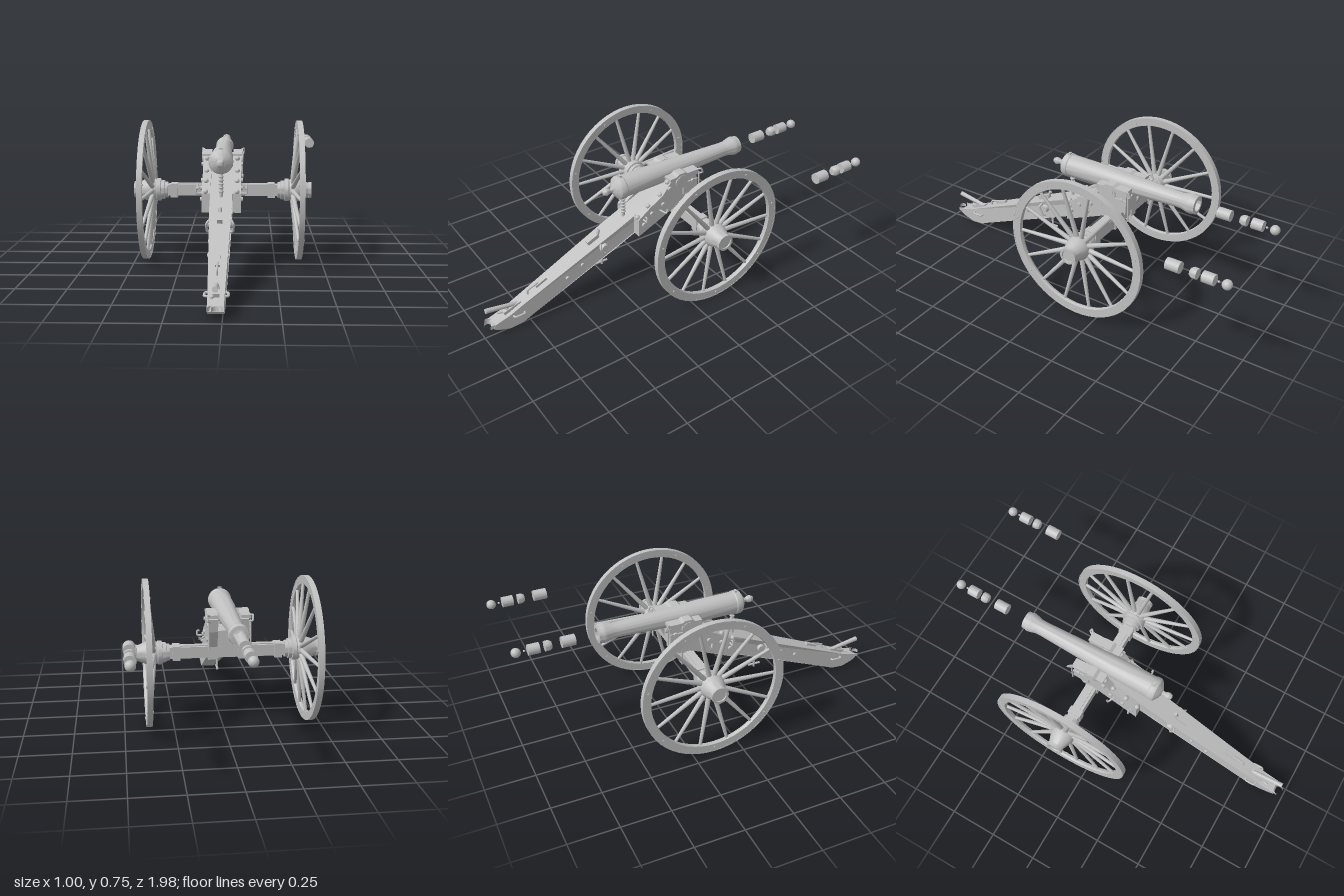
import * as THREE from 'three';
import { toCreasedNormals } from 'three/addons/utils/BufferGeometryUtils.js';

const HALF = Math.PI / 2;
const V = (x, y, z) => new THREE.Vector3(x, y, z);

export function createModel() {
  const model = new THREE.Group();
  model.name = 'fieldGun';
  const grey = new THREE.MeshStandardMaterial({ color: 0xc0c0c0 });
  grey.name = 'plainGrey';

  // ---- helpers ----
  const add = (parent, name, geo, x = 0, y = 0, z = 0) => {
    const m = new THREE.Mesh(geo, grey);
    m.name = name;
    m.position.set(x, y, z);
    parent.add(m);
    return m;
  };
  const box = (p, name, w, h, d, x, y, z, rx = 0) => {
    const m = add(p, name, new THREE.BoxGeometry(w, h, d), x, y, z);
    m.rotation.x = rx;
    return m;
  };
  // cylinder running between two points
  const rod = (p, name, a, b, r0, r1 = r0, sides = 12) => {
    const d = b.clone().sub(a);
    const m = add(p, name, new THREE.CylinderGeometry(r1, r0, d.length(), sides));
    m.position.copy(a).addScaledVector(d, 0.5);
    m.quaternion.setFromUnitVectors(V(0, 1, 0), d.normalize());
    return m;
  };
  // turned part: pairs of [radius, height], bottom to top
  const turned = (pts, seg = 32) => toCreasedNormals(
    new THREE.LatheGeometry(pts.map(([r, h]) => new THREE.Vector2(r, h)), seg), 0.6);
  // side profile of [z, y] points, extruded across x
  const profile = (pts, width) => {
    const s = new THREE.Shape(pts.map(([z, y]) => new THREE.Vector2(z, y)));
    return new THREE.ExtrudeGeometry(s, { depth: width, bevelEnabled: false })
      .translate(0, 0, -width / 2).rotateY(-HALF);
  };
  const tube = (p, name, pts, r) => add(p, name, new THREE.TubeGeometry(
    new THREE.CatmullRomCurve3(pts, false, 'catmullrom', 0.2), 20, r, 8));

  const gun = new THREE.Group();
  gun.name = 'gunAndCarriage';
  gun.position.x = -0.03;
  model.add(gun);

  // ---- barrel with open bore and breech knob ----
  add(gun, 'barrel', turned([
    [0, -0.278], [0.012, -0.274], [0.019, -0.26], [0.017, -0.246], [0.011, -0.235], [0.013, -0.222],
    [0.035, -0.212], [0.058, -0.196], [0.062, -0.185], [0.062, -0.165], [0.058, -0.16],
    [0.056, 0.05], [0.052, 0.12], [0.039, 0.47], [0.04, 0.5], [0.049, 0.535], [0.051, 0.55],
    [0.047, 0.56], [0.047, 0.575], [0.03, 0.577], [0.028, 0.44], [0, 0.43],
  ], 36).rotateX(-HALF), 0, 0.573, 0);
  rod(gun, 'trunnion', V(-0.11, 0.56, -0.135), V(0.11, 0.56, -0.135), 0.025, 0.025, 24);
  box(gun, 'rearSight', 0.02, 0.014, 0.012, 0, 0.636, 0.175);

  // ---- trail, narrowing towards the rear ----
  const trail = profile([
    [0.95, 0.04], [0.94, 0.062], [0.86, 0.085], [0.78, 0.122], [0.246, 0.357], [-0.09, 0.505],
    [-0.2, 0.5], [-0.2, 0.42], [-0.1, 0.402], [0.22, 0.262], [0.73, 0.04], [0.79, 0.012],
    [0.86, 0.004], [0.92, 0.022],
  ], 2);
  const tp = trail.attributes.position;
  for (let i = 0; i < tp.count; i++) {
    const t = THREE.MathUtils.clamp((tp.getZ(i) - 0.246) / 0.65, 0, 1);
    tp.setX(i, tp.getX(i) * (0.056 - 0.02 * t));
  }
  trail.computeVertexNormals();
  add(gun, 'trail', trail);

  // towing eye
  const eye = new THREE.Shape();
  eye.moveTo(-0.033, 0.08);
  eye.lineTo(-0.033, 0);
  eye.absarc(0, 0, 0.033, Math.PI, 0, true);
  eye.lineTo(0.033, 0.08);
  const hole = new THREE.Path();
  hole.absarc(0, 0, 0.017, 0, Math.PI * 2, true);
  eye.holes.push(hole);
  const eyeGeo = new THREE.ExtrudeGeometry(eye, { depth: 0.02, bevelEnabled: false, curveSegments: 16 });
  add(gun, 'towingEye', eyeGeo.rotateX(-HALF), 0, 0.043, 0.967);

  // handspike on the trail end, with its supports
  rod(gun, 'handspike', V(0, 0.112, 0.79), V(0, 0.142, 0.968), 0.011, 0.013);
  rod(gun, 'handspikeSupport', V(0, 0.07, 0.87), V(0, 0.122, 0.85), 0.009);
  rod(gun, 'handspikePin', V(-0.02, 0.085, 0.9), V(0.02, 0.085, 0.79), 0.006);
  box(gun, 'handspikeSocket', 0.03, 0.02, 0.1, 0, 0.103, 0.83, 0.3);
  tube(gun, 'trailHook', [V(0, 0.13, 0.735), V(0, 0.165, 0.735), V(0, 0.185, 0.68), V(0, 0.172, 0.668)], 0.005);
  box(gun, 'trailPlate', 0.022, 0.012, 0.07, 0, 0.185, 0.66, 0.41);
  box(gun, 'trailLatch', 0.026, 0.022, 0.07, 0, 0.322, 0.35, 0.41);
  rod(gun, 'latchPin', V(0, 0.31, 0.33), V(0, 0.365, 0.31), 0.009);

  // elevating screw and the handle hanging below the trail
  rod(gun, 'elevatingScrew', V(0, 0.39, 0.16), V(0, 0.52, 0.16), 0.009);
  for (let i = 0; i < 5; i++) {
    add(gun, 'screwThread', new THREE.TorusGeometry(0.009, 0.005, 8, 16).rotateX(HALF), 0, 0.42 + i * 0.019, 0.16);
  }
  rod(gun, 'screwShaft', V(0, 0.14, 0.3), V(0, 0.27, 0.3), 0.006);
  rod(gun, 'screwCrossbar', V(0, 0.155, 0.268), V(0, 0.155, 0.335), 0.006);
  add(gun, 'screwNut', new THREE.CylinderGeometry(0.012, 0.012, 0.02, 6), 0, 0.215, 0.3);

  // ---- axle ----
  box(gun, 'axleBeam', 0.59, 0.058, 0.058, 0, 0.381, -0.137);
  box(gun, 'axleTopPlate', 0.5, 0.006, 0.03, 0, 0.412, -0.137);

  // ---- one side of the carriage; s is +1 for left, -1 for right ----
  for (const s of [1, -1]) {
    const side = new THREE.Group();
    side.name = s > 0 ? 'leftSide' : 'rightSide';
    gun.add(side);

    const cheek = profile([
      [0.13, 0.305], [0.13, 0.405], [0.06, 0.455], [-0.02, 0.5], [-0.07, 0.565], [-0.1, 0.58],
      [-0.2, 0.585], [-0.235, 0.565], [-0.225, 0.5], [-0.19, 0.415], [-0.1, 0.405],
    ], 0.044);
    add(side, 'cheek', cheek, s * 0.078, 0, 0);
    // trunnion cap, curved over the trunnion
    add(side, 'trunnionCap', profile([
      [-0.06, 0.572], [-0.06, 0.583], [-0.1, 0.585], [-0.115, 0.597], [-0.155, 0.597],
      [-0.17, 0.588], [-0.24, 0.588], [-0.24, 0.572],
    ], 0.05), s * 0.082, 0, 0);
    rod(side, 'trunnionWasher', V(s * 0.1, 0.55, -0.135), V(s * 0.108, 0.55, -0.135), 0.036, 0.036, 24);
    tube(side, 'capHandle', [V(s * 0.098, 0.585, -0.235), V(s * 0.114, 0.592, -0.25),
      V(s * 0.112, 0.565, -0.262), V(s * 0.098, 0.555, -0.24)], 0.005);
    rod(side, 'capChain', V(s * 0.104, 0.57, -0.245), V(s * 0.104, 0.42, -0.245), 0.004, 0.004, 8);

    // bolts through the sloping top and on the outer face
    for (const [y, z] of [[0.413, 0.125], [0.458, 0.06], [0.5, -0.015], [0.56, -0.06]]) {
      add(side, 'topBolt', new THREE.SphereGeometry(0.013, 12, 8), s * 0.08, y, z);
    }
    for (const [y, z] of [[0.37, 0.1], [0.42, 0.05], [0.45, -0.02], [0.53, -0.06], [0.53, -0.205], [0.45, -0.17]]) {
      rod(side, 'sideBolt', V(s * 0.098, y, z), V(s * 0.11, y, z), 0.012, 0.01, 12);
    }
    box(side, 'cheekPlate', 0.008, 0.07, 0.09, s * 0.103, 0.5, -0.19);
    box(side, 'axleStrap', 0.045, 0.085, 0.07, s * 0.078, 0.385, -0.137);
    tube(side, 'implementHook', [V(s * 0.095, 0.4, 0.1), V(s * 0.13, 0.4, 0.1),
      V(s * 0.13, 0.425, 0.1), V(s * 0.118, 0.425, 0.1)], 0.005);
    tube(side, 'frontHook', [V(s * 0.095, 0.42, 0.0), V(s * 0.13, 0.41, -0.02), V(s * 0.128, 0.43, -0.03)], 0.005);

    // trail fittings
    rod(side, 'trailBoss', V(s * 0.048, 0.285, 0.31), V(s * 0.064, 0.285, 0.31), 0.022, 0.017, 16);
    tube(side, 'sideRing', [V(s * 0.05, 0.31, 0.33), V(s * 0.066, 0.29, 0.34),
      V(s * 0.064, 0.25, 0.32), V(s * 0.05, 0.245, 0.31)], 0.006);
    tube(side, 'trailHandle', [V(s * 0.034, 0.075, 0.78), V(s * 0.052, 0.075, 0.785),
      V(s * 0.052, 0.075, 0.835), V(s * 0.032, 0.075, 0.84)], 0.006);
    for (const [y, z] of [[0.225, 0.44], [0.18, 0.53]]) {
      rod(side, 'trailBolt', V(s * 0.04, y, z), V(s * 0.054, y, z), 0.011, 0.009, 12);
    }
    box(side, 'axleBand', 0.038, 0.074, 0.07, s * 0.26, 0.379, -0.137);

    // ---- wheel, built for +x and turned round for the other side ----
    const wheel = new THREE.Group();
    wheel.name = s > 0 ? 'leftWheel' : 'rightWheel';
    wheel.position.set(0, 0.38, -0.137);
    if (s < 0) wheel.rotation.y = Math.PI;
    side.add(wheel);
    add(wheel, 'rim', turned([
      [0.33, 0.395], [0.367, 0.394], [0.367, 0.393], [0.373, 0.393], [0.373, 0.421],
      [0.367, 0.421], [0.367, 0.42], [0.33, 0.419], [0.326, 0.407], [0.33, 0.395],
    ].map(([r, h]) => [r, h]), 56).rotateZ(-HALF));
    add(wheel, 'hub', turned([
      [0, 0.294], [0.043, 0.294], [0.044, 0.31], [0.051, 0.312], [0.051, 0.33], [0.06, 0.332],
      [0.061, 0.352], [0.056, 0.356], [0.063, 0.38], [0.063, 0.392], [0.056, 0.415], [0.046, 0.44],
      [0.04, 0.458], [0.044, 0.459], [0.044, 0.475], [0.032, 0.475], [0.03, 0.47], [0, 0.47],
    ], 32).rotateZ(-HALF));
    for (let i = 0; i < 14; i++) {
      const a = (i / 14) * Math.PI * 2;
      const at = (x, r) => V(x, r * Math.sin(a), r * Math.cos(a));
      rod(wheel, 'spoke', at(0.375, 0.05), at(0.403, 0.335), 0.013, 0.008, 10);
      const b = a + Math.PI / 14;
      if (i % 2) continue;
      rod(wheel, 'rimBolt', V(0.39, 0.35 * Math.sin(b), 0.35 * Math.cos(b)),
        V(0.424, 0.35 * Math.sin(b), 0.35 * Math.cos(b)), 0.006, 0.006, 8);
    }
  }

  // ---- two rows of ammunition ----
  for (const x of [-0.03, 0.472]) {
    const row = new THREE.Group();
    row.name = 'ammunitionRow';
    row.position.set(x, 0.573, 0);
    model.add(row);
    const shell = (name, z0, z1, r) => rod(row, name, V(0, 0, z0), V(0, 0, z1), r, r, 24);
    shell('powderCharge', -0.687, -0.755, 0.028);
    add(row, 'sabot', turned([[0, 0.8], [0.018, 0.803], [0.026, 0.816], [0.026, 0.838], [0, 0.84]], 24).rotateX(-HALF));
    shell('canister', -0.863, -0.92, 0.027);
    add(row, 'fuse', new THREE.SphereGeometry(0.006, 10, 8), 0, 0, -0.936);
    add(row, 'roundShot', new THREE.SphereGeometry(0.024, 24, 16), 0, 0, -0.976);
  }
  return model;
}
